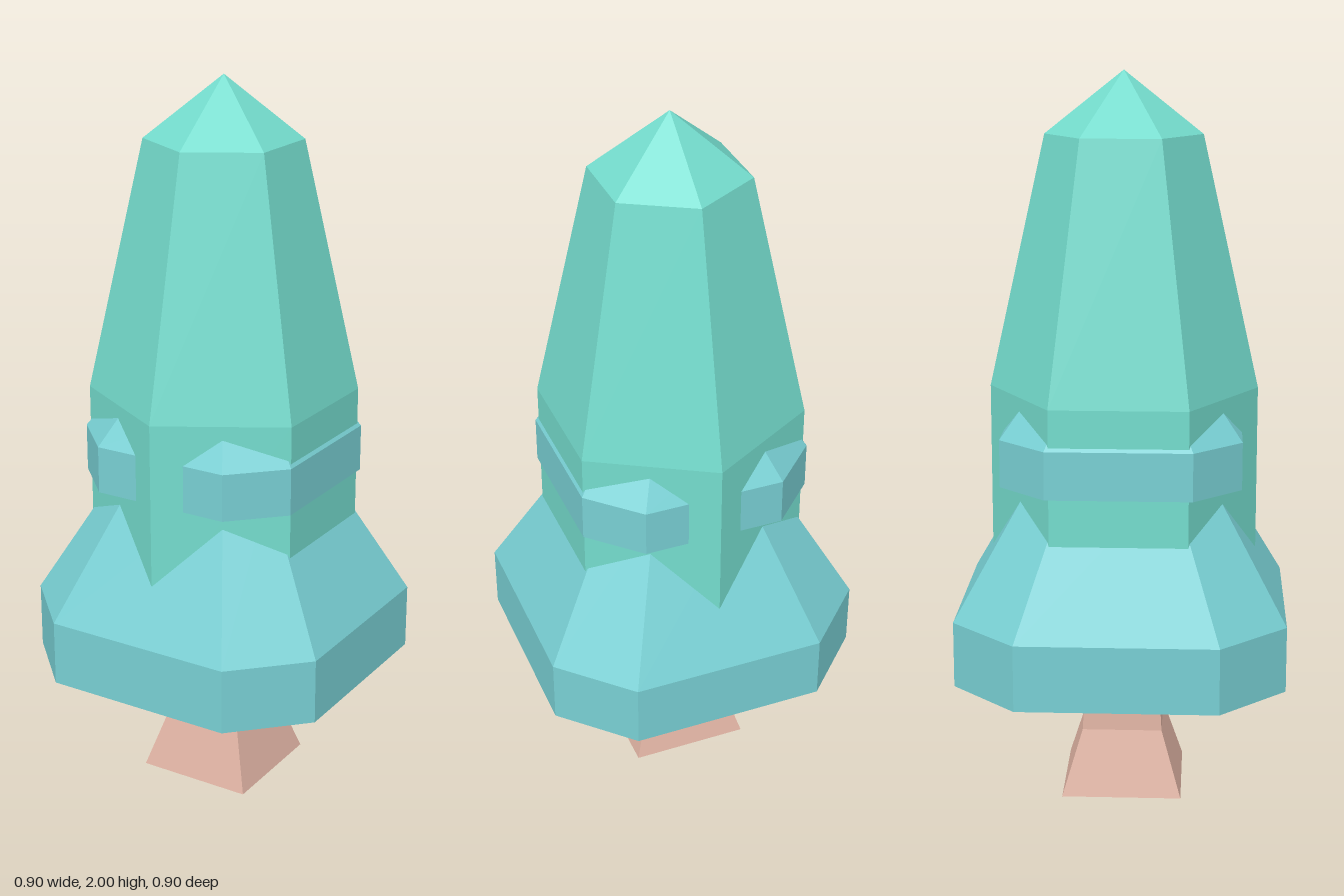
import * as THREE from 'three';

const foliage = new THREE.MeshStandardMaterial({ name: 'greenFoliage', color: 0x74dccd });
const skirt = new THREE.MeshStandardMaterial({ name: 'tealFoliage', color: 0x78cfd3 });
const bark = new THREE.MeshStandardMaterial({ name: 'bark', color: 0xdfb3a3 });

// Outlines as [x, z] corners, in order of rising angle from +x towards +z
const hexagon = Array.from({ length: 6 }, (_, i) => {
  const a = Math.PI / 6 + (i * Math.PI) / 3;
  return [Math.cos(a), Math.sin(a)];
});
const square = [[1, 1], [-1, 1], [-1, -1], [1, -1]];
const octagon = [
  [1, 0.6], [0.6, 1], [-0.6, 1], [-1, 0.6],
  [-1, -0.6], [-0.6, -1], [0.6, -1], [1, -0.6],
];

// Flat-faced solid: the outline scaled along a profile of [scale, y];
// a scale of 0 closes the solid with a cap or a point
function loft(name, outline, profile, material) {
  const pos = [];
  const n = outline.length;
  const point = ([scale, y], i) => [outline[i % n][0] * scale, y, outline[i % n][1] * scale];
  for (let k = 0; k < profile.length - 1; k++) {
    const [low, high] = [profile[k], profile[k + 1]];
    for (let i = 0; i < n; i++) {
      if (low[0] > 0) pos.push(...point(low, i), ...point(high, i), ...point(low, i + 1));
      if (high[0] > 0) pos.push(...point(low, i + 1), ...point(high, i), ...point(high, i + 1));
    }
  }
  const geometry = new THREE.BufferGeometry();
  geometry.setAttribute('position', new THREE.Float32BufferAttribute(pos, 3));
  geometry.computeVertexNormals();
  const mesh = new THREE.Mesh(geometry, material);
  mesh.name = name;
  return mesh;
}

export function createModel() {
  const tree = new THREE.Group();
  tree.name = 'tree';
  tree.add(
    // Square trunk flaring at the foot
    loft('trunk', square, [[0, 0], [0.166, 0], [0.111, 0.18], [0.098, 0.4], [0, 0.4]], bark),
    // Wide octagonal lower branches
    loft('lowerBranches', octagon, [[0, 0.364], [0.449, 0.364], [0.449, 0.545], [0.225, 0.943], [0, 0.943]], skirt),
    // Octagonal band with sloping top, partly sunk into the crown
    loft('branchBand', octagon, [[0, 0.905], [0.325, 0.905], [0.325, 1.035], [0.228, 1.171], [0, 1.171]], skirt),
    // Tall hexagonal crown
    loft('crown', hexagon, [[0, 0.6], [0.368, 0.6], [0.368, 1.145], [0.213, 1.832], [0, 2]], foliage),
  );
  return tree;
}
